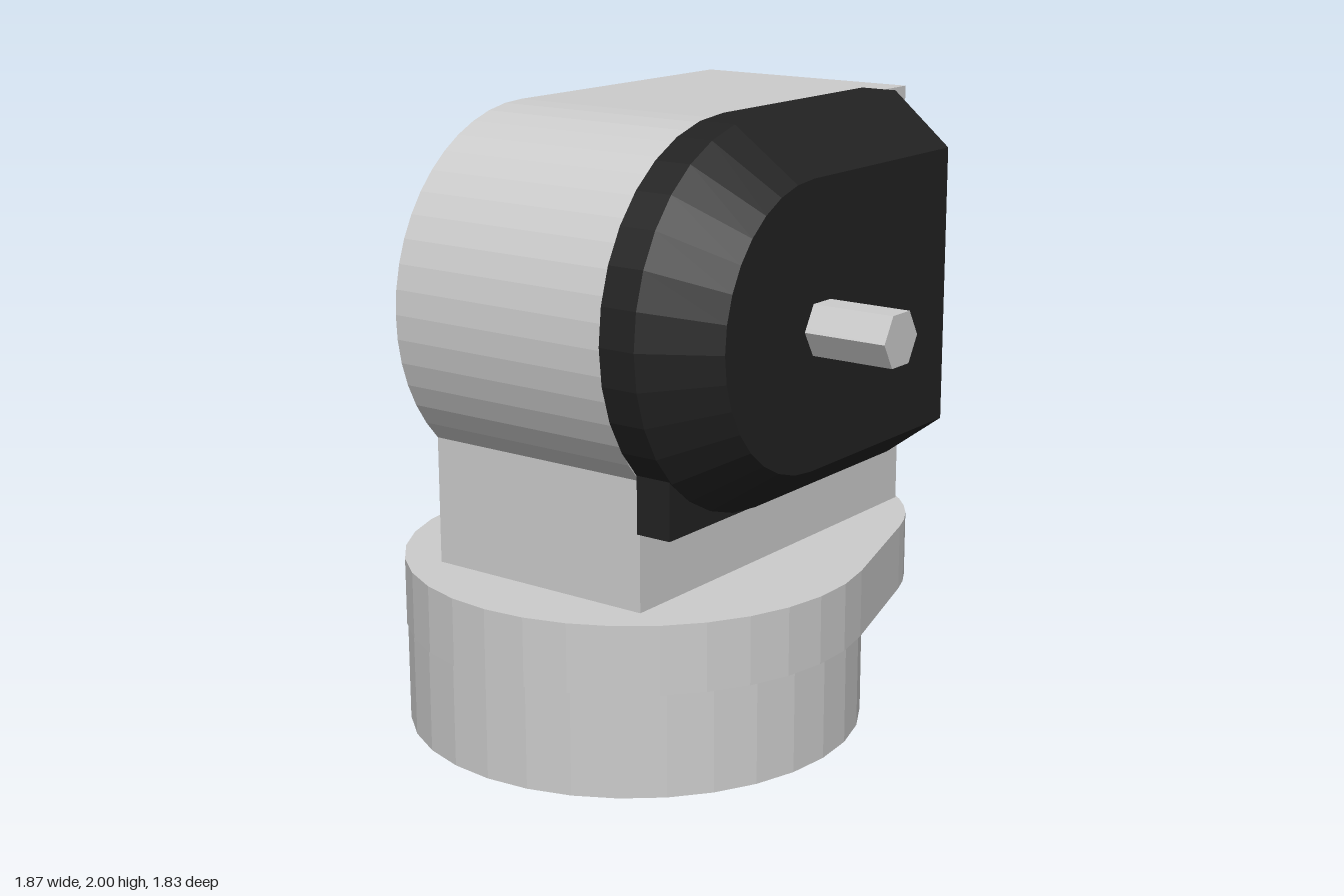
import * as THREE from 'three';

const grey = new THREE.MeshStandardMaterial({ color: 0xcccccc, flatShading: true });
const black = new THREE.MeshStandardMaterial({ color: 0x222222, flatShading: true });

function add(group, name, geometry, material = grey) {
  const mesh = new THREE.Mesh(geometry, material);
  mesh.name = name;
  group.add(mesh);
  return mesh;
}

// D-shaped outline, counter-clockwise: straight right edge, half-round left end
function dOutline(cx, cy, r, right, steps = 16) {
  const points = [[right, cy - r], [right, cy + r]];
  for (let i = 0; i <= steps; i++) {
    const a = Math.PI / 2 + Math.PI * i / steps;
    points.push([cx + r * Math.cos(a), cy + r * Math.sin(a)]);
  }
  return points;
}

// Solid through matching convex outlines, ordered from back to front
function loft(sections) {
  const n = sections[0].points.length;
  const positions = [], index = [];
  for (const { points, z } of sections) for (const [x, y] of points) positions.push(x, y, z);
  for (let s = 0; s < sections.length - 1; s++) {
    for (let i = 0; i < n; i++) {
      const a = s * n + i, b = s * n + (i + 1) % n;
      index.push(a, b, b + n, a, b + n, a + n);
    }
  }
  const front = (sections.length - 1) * n;
  for (let i = 1; i < n - 1; i++) {
    index.push(0, i + 1, i);
    index.push(front, front + i, front + i + 1);
  }
  const geometry = new THREE.BufferGeometry();
  geometry.setAttribute('position', new THREE.Float32BufferAttribute(positions, 3));
  geometry.setIndex(index);
  const flat = geometry.toNonIndexed();
  flat.computeVertexNormals();
  return flat;
}

export function createModel() {
  const model = new THREE.Group();
  model.name = 'pivotHead';

  // Round foot
  add(model, 'baseCylinder', new THREE.CylinderGeometry(0.74, 0.74, 0.33, 32))
    .position.set(-0.195, 0.165, -0.07);

  // Egg-shaped plate: two circles joined by their tangents
  const bigX = -0.18, bigR = 0.755, smallX = 0.32, smallR = 0.61;
  const tangent = Math.acos((bigR - smallR) / (smallX - bigX));
  const plate = new THREE.Shape();
  plate.absarc(bigX, 0.07, bigR, tangent, Math.PI * 2 - tangent, false);
  plate.absarc(smallX, 0.07, smallR, -tangent, tangent, false);
  plate.closePath();
  add(model, 'basePlate', new THREE.ExtrudeGeometry(plate, {
    depth: 0.22, bevelEnabled: false, curveSegments: 10,
  }).rotateX(-Math.PI / 2)).position.y = 0.33;

  // Upright block with a rounded left end that overhangs its neck
  const body = new THREE.Shape();
  body.moveTo(-0.685, 0.55);
  body.lineTo(0.77, 0.55);
  body.lineTo(0.77, 1.98);
  body.lineTo(-0.255, 1.98);
  body.absarc(-0.255, 1.38, 0.6, Math.PI / 2, Math.PI + 0.771, false);
  body.closePath();
  add(model, 'body', new THREE.ExtrudeGeometry(body, {
    depth: 0.8, bevelEnabled: false, curveSegments: 9,
  })).position.z = -0.47;

  // Bevelled side cover
  const outer = dOutline(-0.27, 1.4, 0.6, 0.5);
  add(model, 'sideCover', loft([
    { points: outer, z: 0.33 },
    { points: outer, z: 0.455 },
    { points: dOutline(-0.245, 1.385, 0.445, 0.525), z: 0.64 },
  ]), black);

  // Square corner behind the cover's bevel
  add(model, 'coverCorner', new THREE.BoxGeometry(0.43, 0.25, 0.12), black)
    .position.set(-0.485, 0.926, 0.391);

  // Hexagonal shaft through body and cover
  add(model, 'hexShaft', new THREE.CylinderGeometry(0.091, 0.091, 1.83, 6)
    .rotateY(Math.PI / 2).rotateX(Math.PI / 2)).position.set(-0.195, 1.377, 0);

  return model;
}
